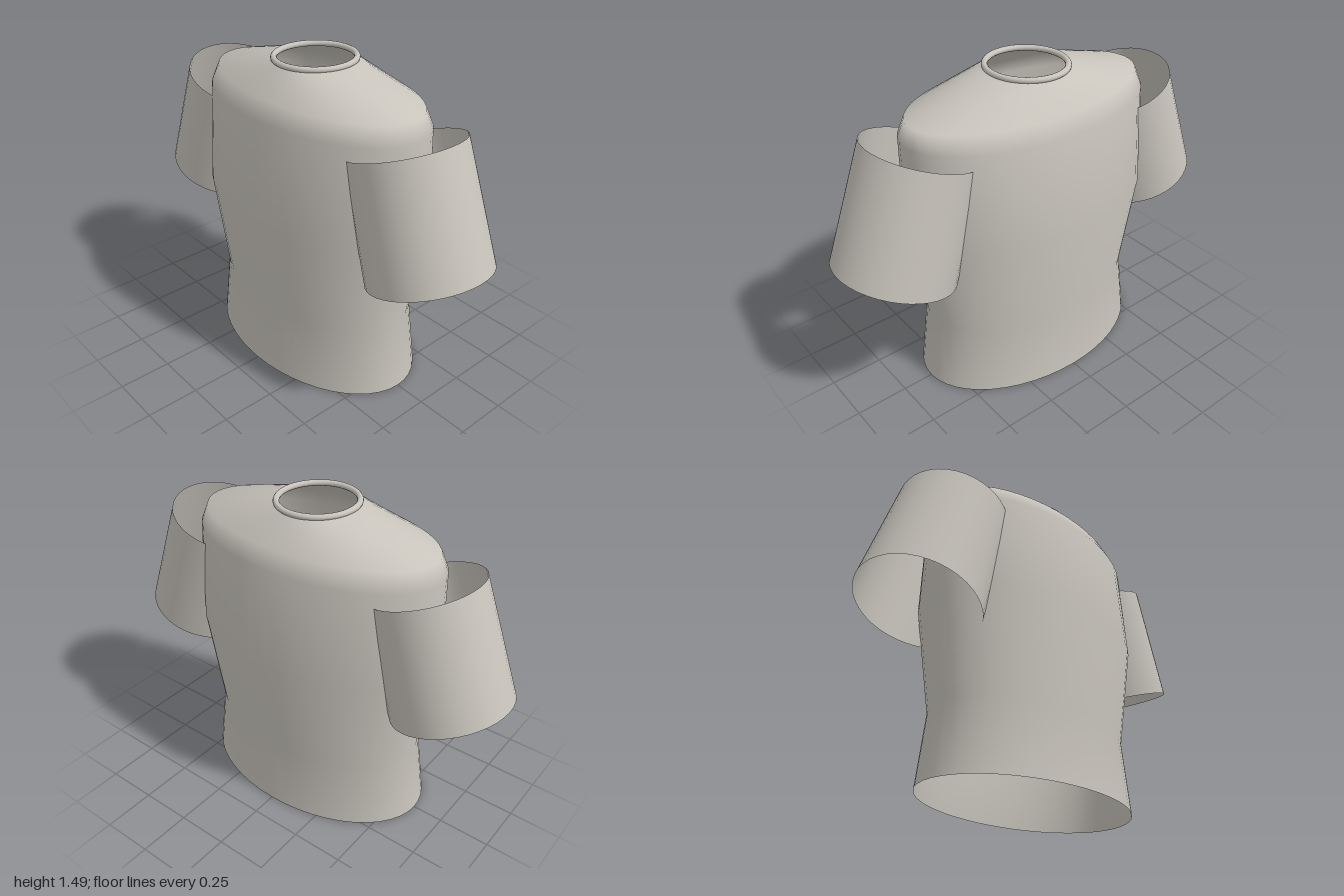
import * as THREE from 'three';
import { mergeVertices } from 'three/addons/utils/BufferGeometryUtils.js';

// Torso rings: height, half width, half depth
const RINGS = [
  [0, 0.6, 0.38], [0.34, 0.555, 0.352], [0.82, 0.63, 0.405],
  [1.28, 0.63, 0.353], [1.36, 0.6, 0.31], [1.47, 0.19, 0.19],
];

// Lathe whose rings are squeezed to ellipses
function ellipticalShell(rings, segments) {
  let geo = new THREE.LatheGeometry(rings.map(([y, rx]) => new THREE.Vector2(rx, y)), segments);
  const pos = geo.attributes.position;
  for (let i = 0; i < pos.count; i++) {
    const [, rx, rz] = rings[i % rings.length];
    pos.setZ(i, pos.getZ(i) * rz / rx);
  }
  // Weld the seam so the cloth shades smoothly all round
  geo.deleteAttribute('uv');
  geo.deleteAttribute('normal');
  geo = mergeVertices(geo, 1e-4);
  geo.computeVertexNormals();
  return geo;
}

export function createModel() {
  const shirt = new THREE.Group();
  shirt.name = 'shirt';
  const cloth = new THREE.MeshStandardMaterial({ color: 0xc8c4bc, side: THREE.DoubleSide });
  cloth.name = 'warm grey cloth';

  const add = (name, geometry) => {
    const mesh = new THREE.Mesh(geometry, cloth);
    mesh.name = name;
    shirt.add(mesh);
    return mesh;
  };

  // Body, open at hem and neck
  add('torso', ellipticalShell(RINGS, 48));

  // Rolled neck band
  const collar = add('collar', new THREE.TorusGeometry(0.18, 0.014, 12, 48));
  collar.rotation.x = Math.PI / 2;
  collar.position.y = 1.477;
  collar.scale.y = 1.03;

  // Open, slightly flared sleeves running into the torso sides
  for (const [name, side] of [['leftSleeve', 1], ['rightSleeve', -1]]) {
    const sleeve = add(name, new THREE.CylinderGeometry(0.26, 0.28, 0.568, 40, 1, true));
    sleeve.position.set(side * 0.645, 0.977, 0);
    sleeve.rotation.z = side * 0.323;
  }
  return shirt;
}
